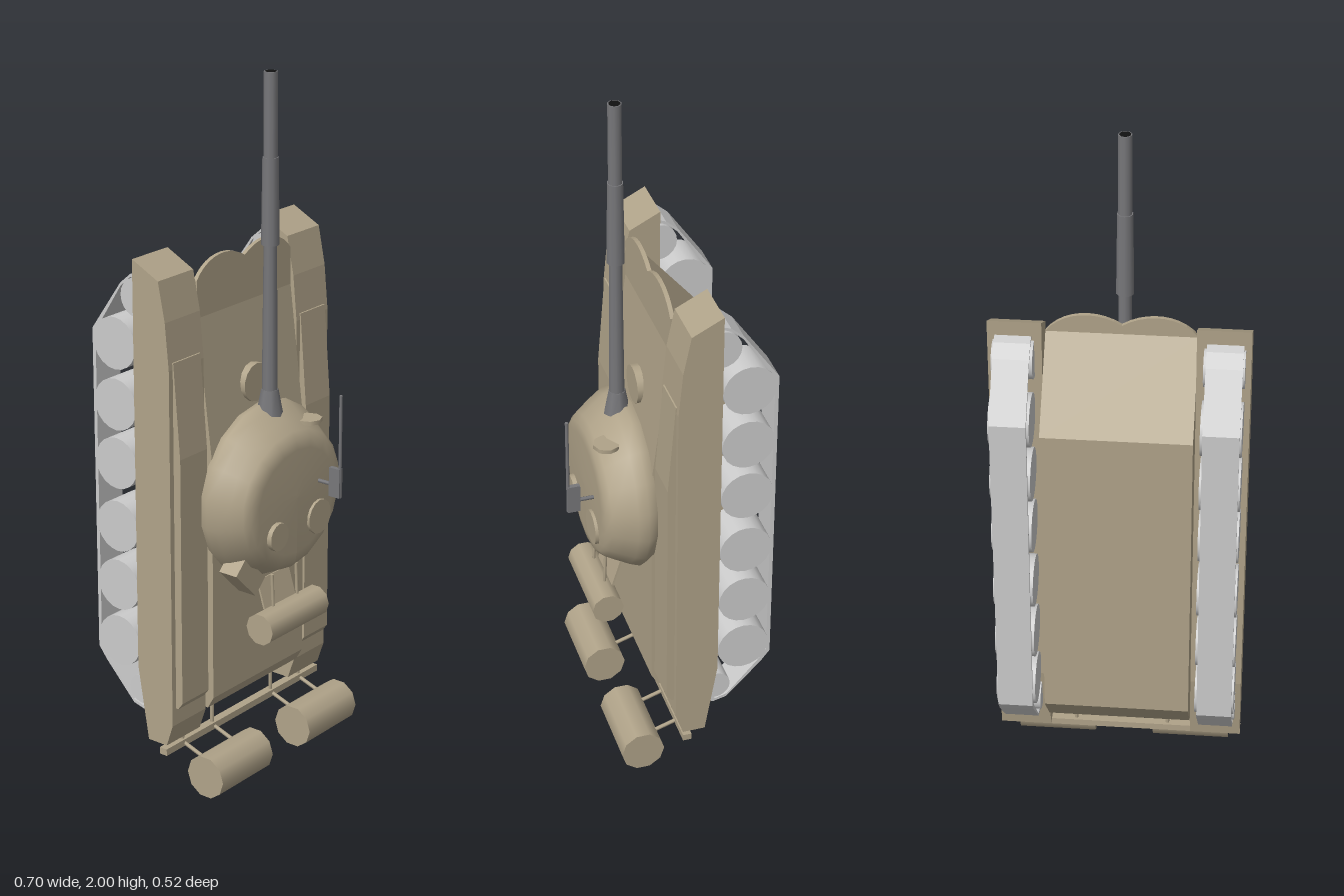
import * as THREE from 'three';

const tan = new THREE.MeshStandardMaterial({ color: 0xb0a389 });
const grey = new THREE.MeshStandardMaterial({ color: 0xcccccc });
const steel = new THREE.MeshStandardMaterial({ color: 0x77777a });
const bore = new THREE.MeshStandardMaterial({ color: 0x111111 });

export function createModel() {
  const model = new THREE.Group();
  const add = (name, geo, mat = tan) => {
    const m = new THREE.Mesh(geo, mat);
    m.name = name;
    model.add(m);
    return m;
  };
  const box = (name, w, h, d, x, y, z, mat) => {
    const m = add(name, new THREE.BoxGeometry(w, h, d), mat);
    m.position.set(x, y, z);
    return m;
  };
  // Cylinder between two points, with a radius at each end
  const rod = (name, a, b, ra, rb = ra, sides = 12, mat = tan) => {
    const p = new THREE.Vector3(...a), q = new THREE.Vector3(...b), d = q.clone().sub(p);
    const m = add(name, new THREE.CylinderGeometry(rb, ra, d.length(), sides), mat);
    m.position.copy(p).add(q).multiplyScalar(0.5);
    m.quaternion.setFromUnitVectors(new THREE.Vector3(0, 1, 0), d.normalize());
    return m;
  };
  const toShape = pts => new THREE.Shape(pts.map(p => new THREE.Vector2(...p)));
  // Side profile in (z, y), extruded across x
  const sideExtrude = (name, shape, x, width, mat) => {
    const geo = new THREE.ExtrudeGeometry(shape, { depth: width, bevelEnabled: false });
    geo.translate(0, 0, -width / 2).rotateY(-Math.PI / 2).translate(x, 0, 0);
    return add(name, geo, mat);
  };

  // Hull
  sideExtrude('hull', toShape([
    [0.05, 0.25], [0.03, 0.215], [-0.1, 0.215], [-0.2, 0.33], [-0.2, 1.24],
    [-0.013, 1.46], [0.05, 0.95],
  ]), 0, 0.41);

  // Wavy plate along the bow
  const wave = new THREE.Shape();
  wave.moveTo(-0.205, 1.3);
  wave.lineTo(0.205, 1.3);
  wave.lineTo(0.205, 1.46);
  wave.bezierCurveTo(0.16, 1.52, 0.07, 1.53, 0, 1.485);
  wave.bezierCurveTo(-0.07, 1.53, -0.16, 1.52, -0.205, 1.46);
  const bow = new THREE.ExtrudeGeometry(wave, { depth: 0.012, bevelEnabled: false, curveSegments: 10 });
  add('bowPlate', bow.translate(0, 0, -0.012));

  rod('driverHatch', [0, 1.13, 0.015], [0, 1.13, 0.043], 0.055, 0.055, 14);

  const loop = [
    [-0.095, 1.495], [-0.125, 1.485], [-0.16, 1.455], [-0.262, 1.31], [-0.262, 0.37],
    [-0.235, 0.335], [-0.135, 0.23], [-0.095, 0.22], [-0.06, 0.24], [-0.06, 1.47],
  ];
  const mid = [-0.155, 0.86];
  const wheelRows = [1.283, 1.109, 0.939, 0.754, 0.579, 0.41];

  for (const s of [-1, 1]) {
    const x = s * 0.2775;
    // Fender and the long bin lying on it
    sideExtrude('fender', toShape([
      [-0.1, 1.535], [-0.012, 1.49], [0.01, 1.38], [0.022, 1.25], [0.022, 0.21],
      [0, 0.145], [-0.065, 0.145], [-0.1, 0.36],
    ]), x, 0.145);
    sideExtrude('fenderBin', toShape([
      [0.01, 1.27], [0.024, 1.268], [0.045, 1.0], [0.045, 0.28], [0.03, 0.26], [0.01, 0.26],
    ]), x, 0.113);

    // Track band
    const band = toShape(loop);
    band.holes.push(new THREE.Path(loop.map(([z, y]) => new THREE.Vector2(
      mid[0] + (z - mid[0]) * 0.9, mid[1] + (y - mid[1]) * 0.984))));
    sideExtrude('track', band, s * 0.281, 0.098, grey);

    // Road wheels and end wheels
    const wheel = (name, y, z, r) =>
      rod(name, [s * 0.225, y, z], [s * 0.335, y, z], r, r, 20, grey);
    wheelRows.forEach(y => wheel('roadWheel', y, -0.18, 0.074));
    wheel('frontWheel', 1.425, -0.1, 0.055);
    wheel('rearWheel', 0.283, -0.1, 0.043);

    // Rear drum and its brackets
    rod('rearDrum', [s * 0.087, 0.065, 0.107], [s * 0.312, 0.065, 0.107], 0.063, 0.063, 10);
    for (const bx of [0.135, 0.268])
      rod('drumBracket', [s * bx, 0.122, -0.01], [s * bx, 0.095, 0.07], 0.006, 0.006, 6);
    rod('barStrut', [s * 0.135, 0.12, -0.012], [s * 0.135, 0.23, -0.012], 0.006, 0.006, 6);
    rod('fenderStrut', [s * 0.268, 0.12, -0.012], [s * 0.268, 0.16, -0.012], 0.006, 0.006, 6);
  }
  box('rearBar', 0.7, 0.02, 0.025, 0, 0.122, -0.013);

  // Turret: a lathed dome leaning rearward as it rises
  const dome = new THREE.LatheGeometry([
    [0.25, 0.045], [0.262, 0.072], [0.252, 0.1], [0.234, 0.135], [0.218, 0.165],
    [0.2, 0.179], [0.17, 0.184], [0, 0.186],
  ].map(p => new THREE.Vector2(...p)), 18);
  dome.rotateX(Math.PI / 2);
  const pos = dome.attributes.position;
  for (let i = 0; i < pos.count; i++) {
    const h = (pos.getZ(i) - 0.045) / 0.14;
    const y = pos.getY(i);
    pos.setY(i, 0.825 + y * (y > 0 ? 0.985 - 0.17 * h * h : 0.97));
  }
  dome.computeVertexNormals();
  add('turret', dome).material = new THREE.MeshStandardMaterial({ color: 0xb0a389, side: THREE.DoubleSide });

  // Roof hatches
  rod('smallHatch', [-0.095, 0.74, 0.15], [-0.095, 0.74, 0.198], 0.042, 0.04, 14);
  rod('largeHatch', [0.095, 0.74, 0.15], [0.095, 0.74, 0.193], 0.052, 0.05, 14);

  // Main gun
  const gz = 0.087;
  rod('gunMantlet', [0, 1.03, gz], [0, 1.12, gz], 0.041, 0.024, 8, steel);
  rod('gunBarrel', [0, 1.1, gz], [0, 1.54, gz], 0.022, 0.018, 10, steel);
  rod('gunSleeve', [0, 1.53, gz], [0, 1.77, gz], 0.025, 0.022, 10, steel);
  rod('gunMuzzle', [0, 1.76, gz], [0, 2, gz], 0.019, 0.019, 10, steel);
  rod('gunBore', [0, 1.99, gz], [0, 2.0005, gz], 0.016, 0.016, 10, bore);

  // Roof machine gun
  rod('machineGunBarrel', [0.098, 0.81, 0.257], [0.098, 1.11, 0.257], 0.005, 0.005, 6, steel);
  box('machineGunBody', 0.014, 0.085, 0.036, 0.098, 0.853, 0.242, steel);
  rod('machineGunMount', [0.098, 0.845, 0.17], [0.098, 0.845, 0.23], 0.006, 0.006, 6, steel);

  // Searchlight disc
  rod('searchlight', [0.1, 1.01, 0.146], [0.1, 1.022, 0.146], 0.038, 0.038, 8);

  // Stowage behind the turret
  const crate = box('turretCrate', 0.12, 0.06, 0.06, -0.15, 0.625, 0.11);
  crate.rotation.z = -Math.PI / 4;
  rod('stowageRoll', [-0.13, 0.463, 0.155], [0.13, 0.463, 0.155], 0.046, 0.046, 10);
  const plate = box('rollBracket', 0.14, 0.085, 0.006, 0, 0.535, 0.112);
  plate.rotation.x = -0.3;
  for (const s of [-1, 1])
    rod('rollStrut', [s * 0.055, 0.6, 0.14], [s * 0.055, 0.49, 0.145], 0.005, 0.005, 6);

  return model;
}
